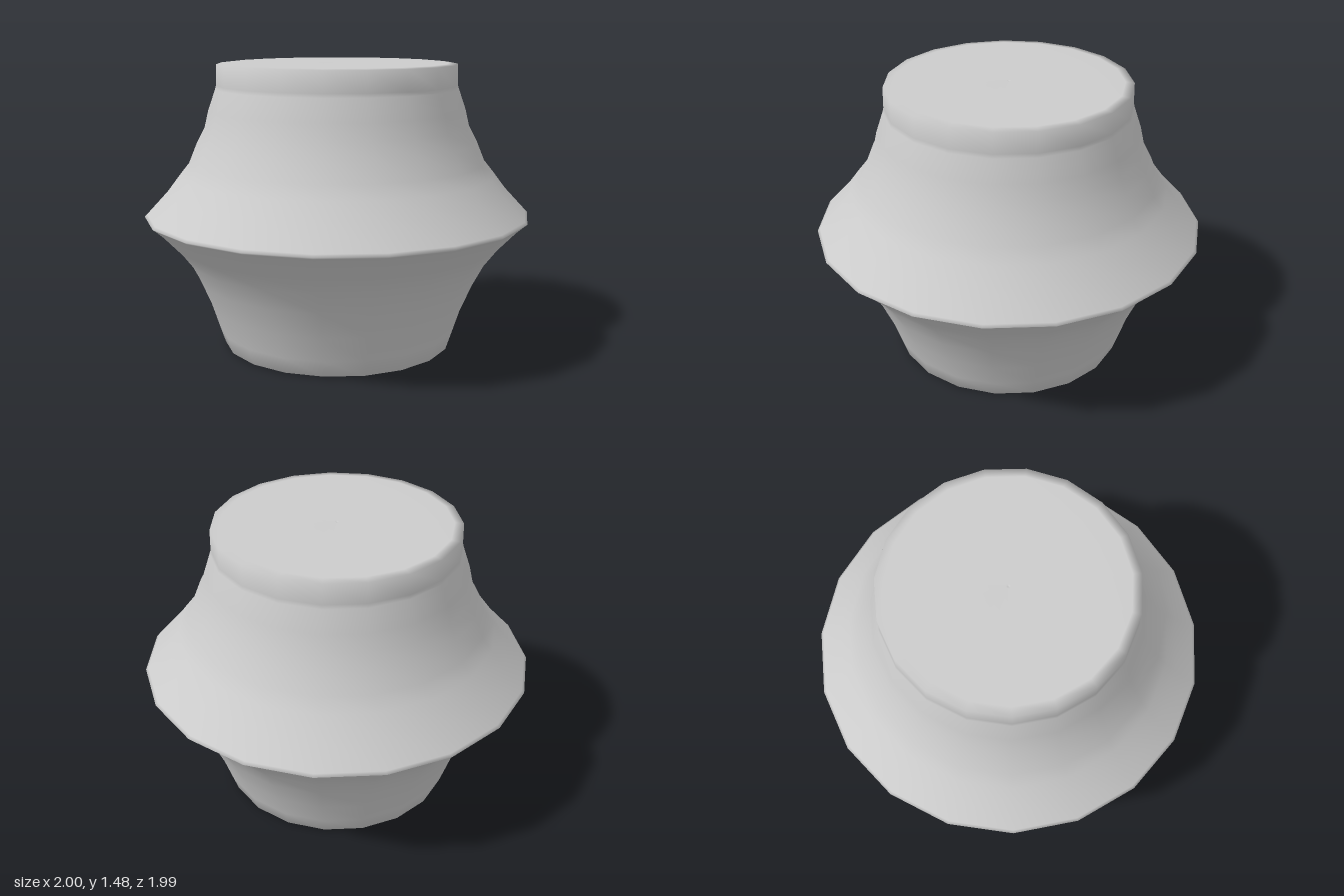
import * as THREE from 'three';

const SIDES = 19;

export function createModel() {
  const group = new THREE.Group();
  const material = new THREE.MeshStandardMaterial({ color: 0xcccccc, side: THREE.DoubleSide });

  // Turned profile as [radius, height], from the base centre to the top centre
  const profile = [
    [0, 0], [0.125, 0], [0.57, 0], [0.602, 0.005], // base
    [0.63, 0.09], [0.672, 0.22], [0.732, 0.36], [0.79, 0.47], [0.855, 0.555], [0.95, 0.655], // flared lower wall
    [0.99, 0.69], [1.003, 0.7], [0.99, 0.712], // sharp waist rim
    [0.88, 0.83], [0.82, 0.91], [0.768, 0.975], // stepped shoulder
    [0.725, 1.08], [0.685, 1.155], [0.665, 1.24], [0.627, 1.35],
    [0.622, 1.37], [0.62, 1.475], [0.575, 1.48], [0.012, 1.48], [0, 1.475], // neck and top
  ].map(([r, y]) => new THREE.Vector2(r, y));

  const body = new THREE.Mesh(new THREE.LatheGeometry(profile, SIDES, Math.PI), material);
  body.name = 'turnedBody';
  body.position.z = 0.007; // an odd number of sides is slightly off centre
  group.add(body);
  return group;
}
